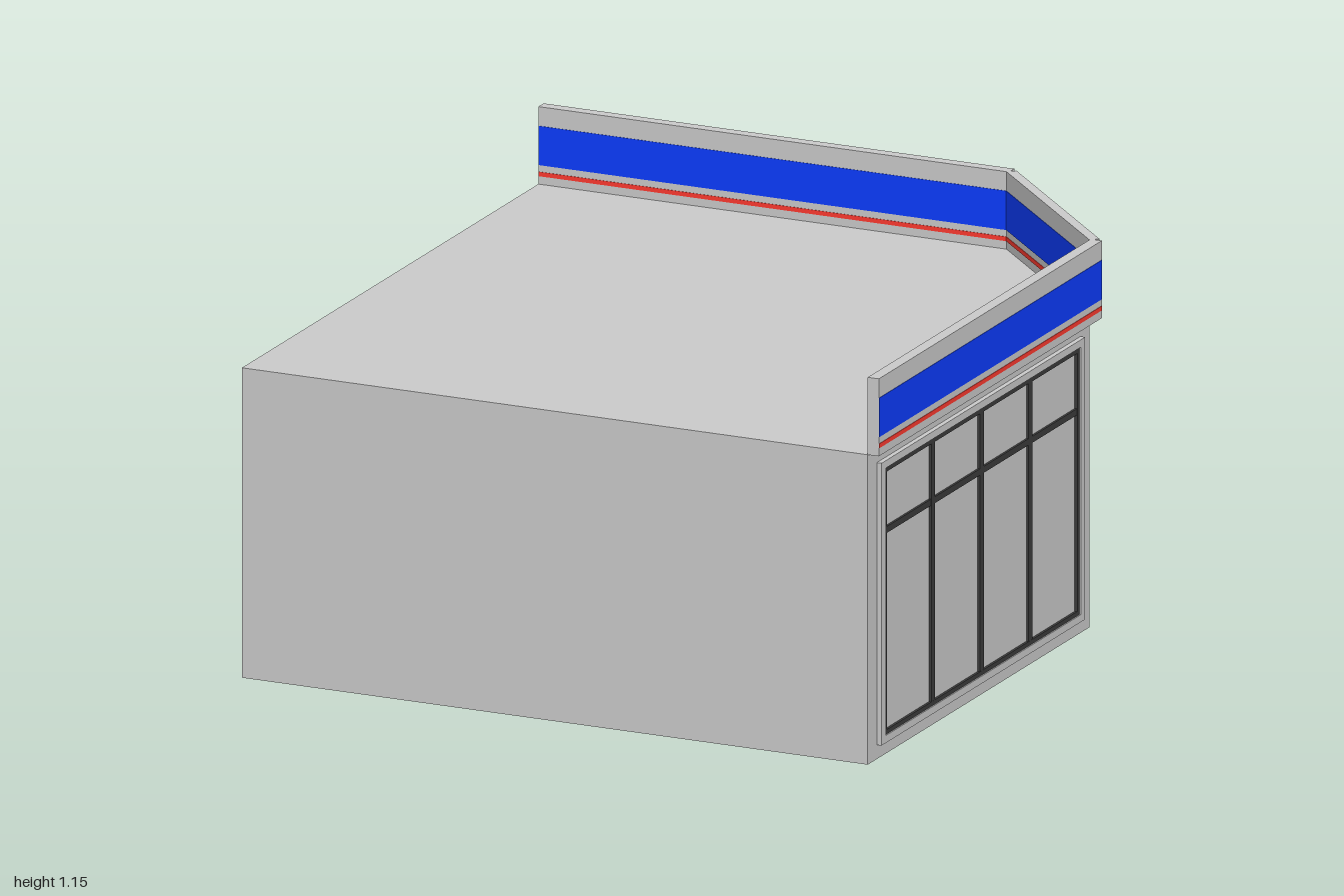
import * as THREE from 'three';

const grey = new THREE.MeshStandardMaterial({ color: 0xcccccc });
const dark = new THREE.MeshStandardMaterial({ color: 0x3c3c3c });
const blue = new THREE.MeshStandardMaterial({ color: 0x0c3cff });
const red = new THREE.MeshStandardMaterial({ color: 0xff3a30 });

const WALL = 0.965, CUT = 0.47, ROOF = 0.92, TOP = 1.15;

// Box given by its x, y and z ranges
function block(parent, name, mat, x0, x1, y0, y1, z0, z1) {
  const mesh = new THREE.Mesh(new THREE.BoxGeometry(x1 - x0, y1 - y0, z1 - z0), mat);
  mesh.position.set((x0 + x1) / 2, (y0 + y1) / 2, (z0 + z1) / 2);
  mesh.name = name;
  parent.add(mesh);
}

// Rectangular frame, symmetric in x, standing out from the wall by depth
function frame(parent, name, mat, half, y0, y1, side, bottom, top, depth) {
  const rect = (Type, h, a, b) => new Type([[-h, a], [h, a], [h, b], [-h, b]].map(p => new THREE.Vector2(...p)));
  const shape = rect(THREE.Shape, half, y0, y1);
  shape.holes.push(rect(THREE.Path, half - side, y0 + bottom, y1 - top));
  const mesh = new THREE.Mesh(new THREE.ExtrudeGeometry(shape, { depth, bevelEnabled: false }), mat);
  mesh.name = name;
  parent.add(mesh);
}

// Group whose local +z points out of a wall
function wallGroup(parent, name, x, z, angle) {
  const g = new THREE.Group();
  g.name = name;
  g.position.set(x, 0, z);
  g.rotation.y = angle;
  parent.add(g);
  return g;
}

// Sign board with a blue band and a red line on both faces
function sign(wall, x0, x1, depth) {
  const e = 0.0015;
  block(wall, 'signBoard', grey, x0, x1, ROOF, TOP, 0, depth);
  block(wall, 'signBlueBand', blue, x0 + e, x1 - e, 0.977, 1.093, -e, depth + e);
  block(wall, 'signRedLine', red, x0 + e, x1 - e, 0.944, 0.957, -e, depth + e);
}

// Shop window with four tall panes and a transom
function shopWindow(wall) {
  frame(wall, 'windowSurround', grey, 0.675, 0.042, 0.88, 0.029, 0.022, 0.022, 0.015);
  block(wall, 'windowGlass', grey, -0.646, 0.646, 0.064, 0.858, 0, 0.003);
  frame(wall, 'windowFrame', dark, 0.646, 0.064, 0.858, 0.015, 0.013, 0.015, 0.011);
  for (const x of [-0.323, 0, 0.323]) {
    block(wall, 'windowMullion', dark, x - 0.013, x + 0.013, 0.07, 0.85, 0, 0.0105);
  }
  block(wall, 'windowTransom', dark, -0.64, 0.64, 0.66, 0.679, 0, 0.01);
}

// Double entrance door
function entrance(wall) {
  frame(wall, 'doorSurround', grey, 0.283, 0.012, 0.823, 0.022, 0.01, 0.018, 0.015);
  block(wall, 'doorGlass', grey, -0.261, 0.261, 0.022, 0.805, 0, 0.003);
  frame(wall, 'doorFrame', dark, 0.261, 0.022, 0.805, 0.017, 0.038, 0.025, 0.011);
  block(wall, 'doorCentrePost', dark, -0.013, 0.013, 0.03, 0.795, 0, 0.0105);
}

export function createModel() {
  const model = new THREE.Group();
  model.name = 'cornerShop';

  // Building block with one corner cut off
  const plan = new THREE.Shape(
    [[-1, -1], [WALL, -1], [WALL, CUT], [CUT, WALL], [-1, WALL]].map(p => new THREE.Vector2(...p)));
  const body = new THREE.Mesh(
    new THREE.ExtrudeGeometry(plan, { depth: ROOF, bevelEnabled: false }), grey);
  body.rotation.x = -Math.PI / 2;
  body.name = 'building';
  model.add(body);

  // Two glazed walls, each with its sign
  const mid = (1 - CUT) / 2, half = (1 + CUT) / 2;
  const left = wallGroup(model, 'leftWall', WALL, mid, Math.PI / 2);
  const back = wallGroup(model, 'backWall', -mid, -WALL, Math.PI);
  sign(left, -half, half + 0.008, 0.035);
  sign(back, -half - 0.008, half, 0.035);
  shopWindow(left);
  shopWindow(back);

  // Cut corner with the entrance
  const c = (WALL + CUT) / 2, h = (WALL - CUT) / Math.SQRT2;
  const corner = wallGroup(model, 'entranceWall', c, -c, 3 * Math.PI / 4);
  sign(corner, -h, h, 0.03);
  entrance(corner);

  return model;
}
